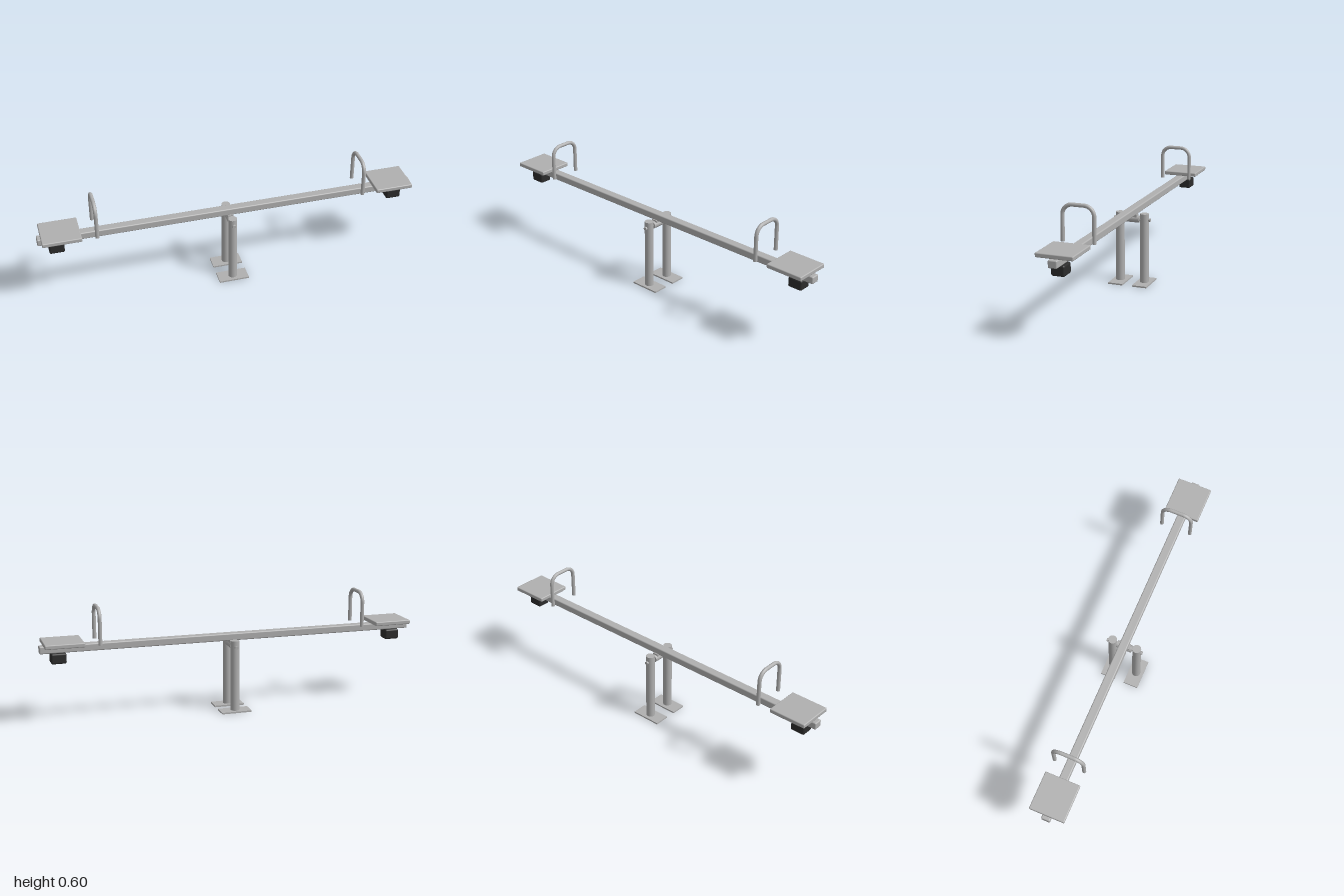
import * as THREE from 'three';
import { RoundedBoxGeometry } from 'three/addons/geometries/RoundedBoxGeometry.js';

export function createModel() {
  const model = new THREE.Group();
  model.name = 'seesaw';

  const steel = new THREE.MeshStandardMaterial({ color: 0xb0b0b0 });
  steel.name = 'grey steel';
  const rubber = new THREE.MeshStandardMaterial({ color: 0x2c2c2c });
  rubber.name = 'black rubber';

  const add = (name, geometry, material, x = 0, y = 0, z = 0) => {
    const mesh = new THREE.Mesh(geometry, material);
    mesh.name = name;
    mesh.position.set(x, y, z);
    model.add(mesh);
    return mesh;
  };
  const rounded = (w, h, d, r) => new RoundedBoxGeometry(w, h, d, 3, r);
  const rodAlongZ = (radius, length) =>
    new THREE.CylinderGeometry(radius, radius, length, 20).rotateX(Math.PI / 2);

  // Long plank beam
  add('beam', rounded(2, 0.038, 0.046, 0.006), steel, 0, 0.389, 0);

  // Pivot: axle through both posts, sleeve and saddle under the beam
  add('axle', rodAlongZ(0.009, 0.2), steel, 0, 0.348, 0);
  add('pivotSleeve', rodAlongZ(0.019, 0.084), steel, 0, 0.348, 0);
  add('pivotSaddle', new THREE.BoxGeometry(0.03, 0.026, 0.058), steel, 0, 0.361, 0);

  // Two posts on flat foot plates
  for (const side of [-1, 1]) {
    const name = side > 0 ? 'front' : 'back';
    add(name + 'Post', new THREE.CylinderGeometry(0.023, 0.023, 0.374, 20), steel, 0, 0.193, side * 0.068);
    add(name + 'FootPlate', new THREE.BoxGeometry(0.16, 0.008, 0.08), steel, 0, 0.004, side * 0.067);
  }

  // Handle path: an upside-down U with rounded corners
  const halfWidth = 0.08, foot = 0.41, top = 0.59, bend = 0.05, pipe = 0.01;
  const path = new THREE.CurvePath();
  const point = (z, y) => new THREE.Vector3(0, y, z);
  path.add(new THREE.LineCurve3(point(-halfWidth, foot), point(-halfWidth, top - bend)));
  const corner = (cz, from, to) => {
    const pts = [];
    for (let i = 0; i <= 8; i++) {
      const a = from + (to - from) * i / 8;
      pts.push(point(cz + bend * Math.cos(a), top - bend + bend * Math.sin(a)));
    }
    return new THREE.CatmullRomCurve3(pts);
  };
  path.add(corner(-halfWidth + bend, Math.PI, Math.PI / 2));
  path.add(new THREE.LineCurve3(point(-halfWidth + bend, top), point(halfWidth - bend, top)));
  path.add(corner(halfWidth - bend, Math.PI / 2, 0));
  path.add(new THREE.LineCurve3(point(halfWidth, top - bend), point(halfWidth, foot)));
  const handleGeometry = new THREE.TubeGeometry(path, 64, pipe, 12, false);
  const capGeometry = new THREE.CircleGeometry(pipe, 12).rotateX(Math.PI / 2);

  // Seat, handle and ground bumper at each end
  for (const side of [-1, 1]) {
    const name = side > 0 ? 'left' : 'right';
    add(name + 'Seat', rounded(0.2, 0.022, 0.188, 0.005), steel, side * 0.882, 0.419, 0);
    add(name + 'Handle', handleGeometry, steel, side * 0.705, 0, 0);
    for (const z of [-halfWidth, halfWidth])
      add(name + 'HandleEnd', capGeometry, steel, side * 0.705, foot, z);
    add(name + 'Bumper', rounded(0.078, 0.054, 0.068, 0.009), rubber, side * 0.906, 0.343, 0);
  }

  return model;
}
